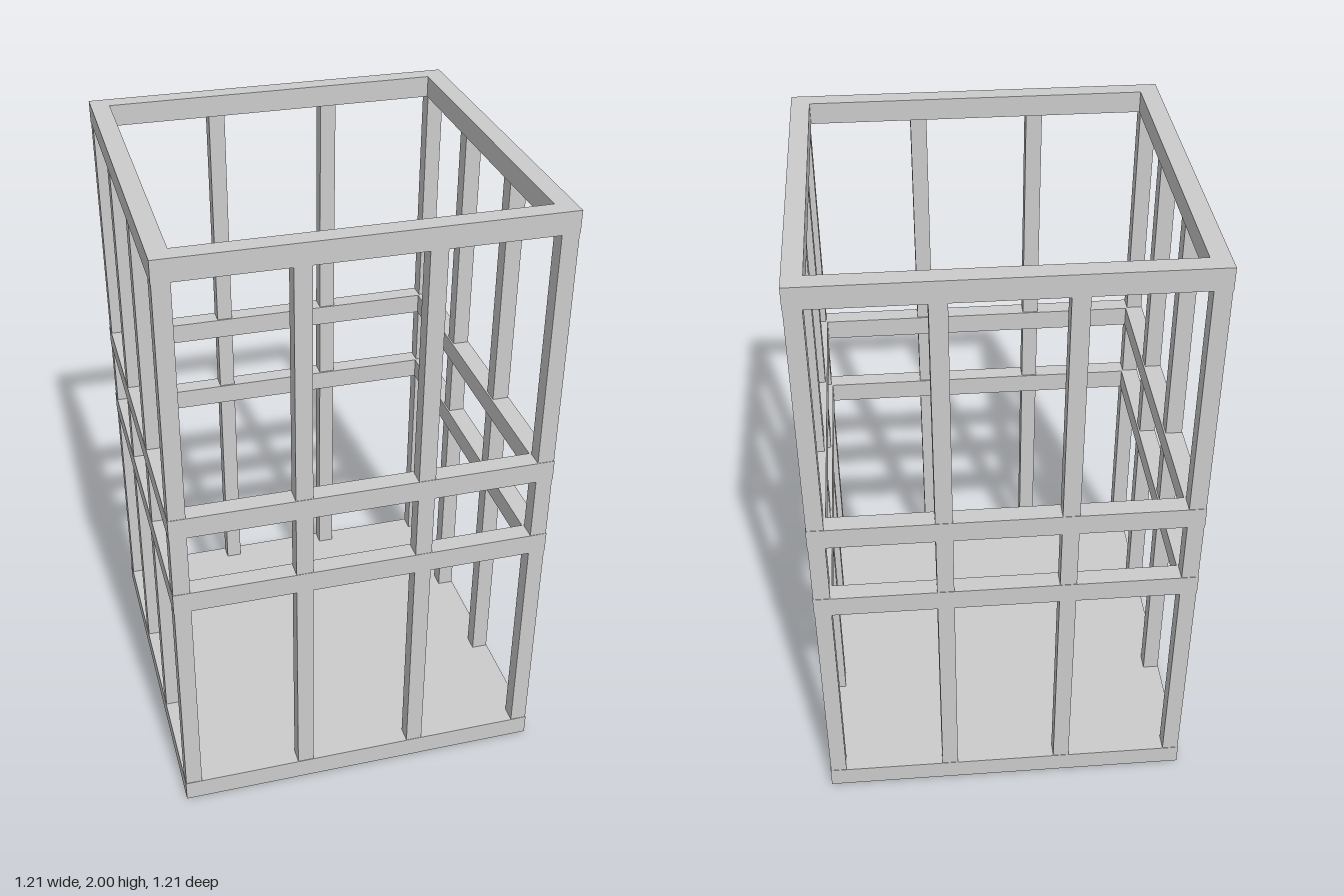
import * as THREE from 'three';

const HALF = 0.605;      // outer half width of the rings and base
const INNER = 0.545;     // inner half width of the rings
const RAIL_H = 0.07;     // rail and base thickness
const POST_W = 0.053;
const POST_AT = 0.577;   // centre line of the posts

const material = new THREE.MeshStandardMaterial({ color: 0xcccccc, flatShading: true });

function square(PathType, r) {
  const p = new PathType();
  p.moveTo(-r, -r);
  p.lineTo(r, -r);
  p.lineTo(r, r);
  p.lineTo(-r, r);
  p.closePath();
  return p;
}

export function createModel() {
  const group = new THREE.Group();
  group.name = 'openFrameTower';

  const add = (name, geometry, x, y, z) => {
    const mesh = new THREE.Mesh(geometry, material);
    mesh.name = name;
    mesh.position.set(x, y, z);
    group.add(mesh);
  };

  // Solid floor slab
  add('base', new THREE.BoxGeometry(HALF * 2, RAIL_H, HALF * 2), 0, RAIL_H / 2, 0);

  // Square rail rings: two around the middle, one at the top
  const outline = square(THREE.Shape, HALF);
  outline.holes.push(square(THREE.Path, INNER));
  const ring = new THREE.ExtrudeGeometry(outline, { depth: RAIL_H, bevelEnabled: false });
  ring.rotateX(-Math.PI / 2);
  add('lowerRing', ring, 0, 0.81, 0);
  add('middleRing', ring, 0, 1.09, 0);
  add('topRing', ring, 0, 2 - RAIL_H, 0);

  // Twelve posts around the perimeter, four to each side, ending inside the rails
  const bottom = RAIL_H / 2;
  const top = 2 - RAIL_H / 2;
  const post = new THREE.BoxGeometry(POST_W, top - bottom, POST_W);
  for (let i = 0; i < 4; i++) {
    for (let j = 0; j < 4; j++) {
      const edgeX = i === 0 || i === 3;
      const edgeZ = j === 0 || j === 3;
      if (!edgeX && !edgeZ) continue;
      const x = POST_AT * (i * 2 / 3 - 1);
      const z = POST_AT * (j * 2 / 3 - 1);
      add(edgeX && edgeZ ? 'cornerPost' : 'sidePost', post, x, (top + bottom) / 2, z);
    }
  }

  return group;
}
